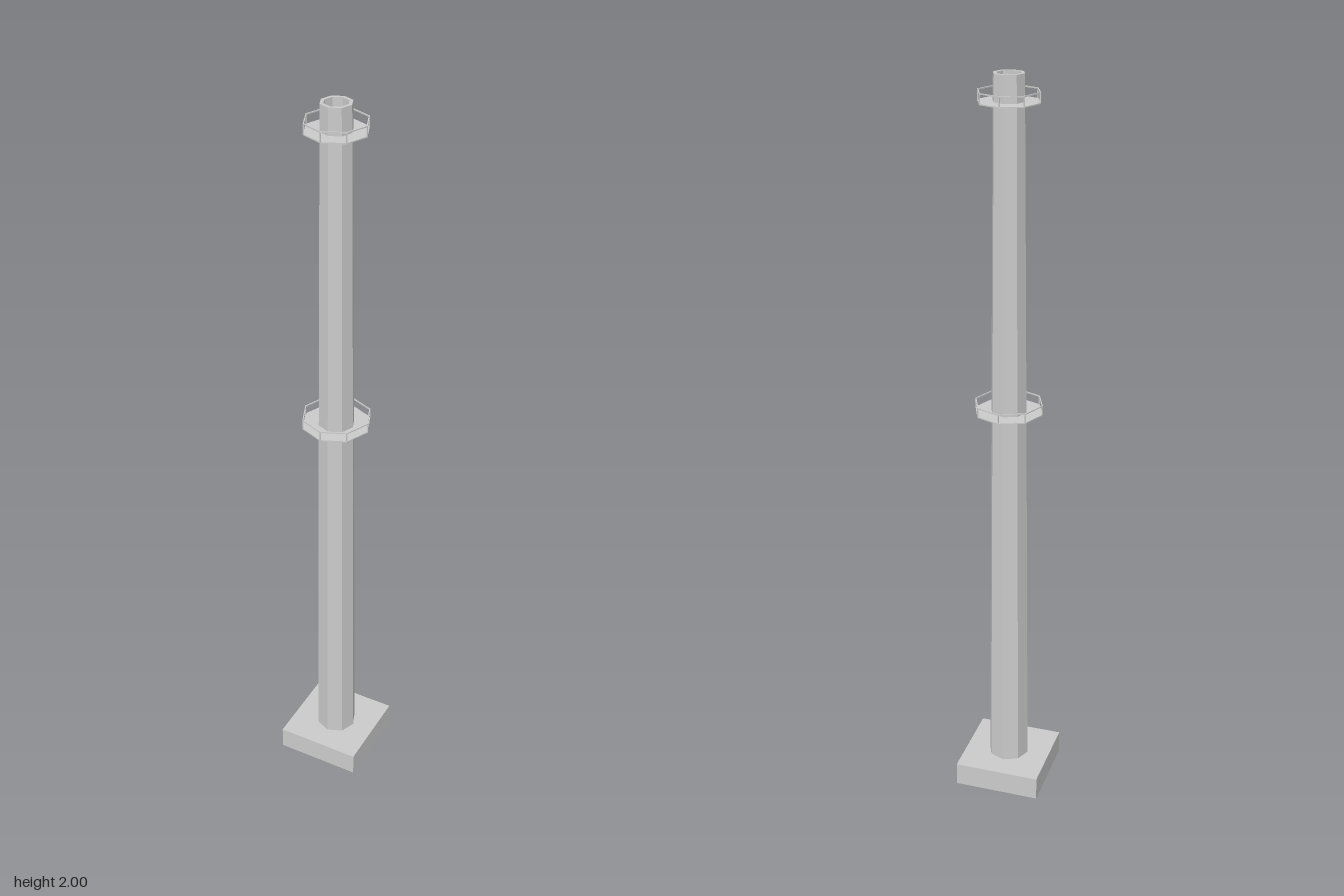
import * as THREE from 'three';

const SIDES = 8;
const material = new THREE.MeshStandardMaterial({ color: 0xcccccc, flatShading: true, side: THREE.DoubleSide });

function add(parent, name, geometry) {
  const mesh = new THREE.Mesh(geometry, material);
  mesh.name = name;
  parent.add(mesh);
  return mesh;
}

// Eight-sided turned solid from [radius, height] pairs
function lathe(profile) {
  return new THREE.LatheGeometry(profile.map(([r, y]) => new THREE.Vector2(r, y)), SIDES);
}

// Thin walkway around the shaft with corner posts and a handrail
function createGallery(name, y, shaftRadius, radius) {
  const gallery = new THREE.Group();
  gallery.name = name;
  gallery.position.y = y;
  const height = 0.028, bar = 0.003, inner = radius - bar;

  add(gallery, 'walkway', lathe([
    [shaftRadius, 0], [radius, 0], [radius, bar], [shaftRadius, bar],
  ]));
  add(gallery, 'handrail', lathe([
    [inner, height - bar], [radius, height - bar], [radius, height], [inner, height], [inner, height - bar],
  ]));
  const postGeometry = new THREE.BoxGeometry(bar, height - bar, bar);
  for (let i = 0; i < SIDES; i++) {
    const angle = (i / SIDES) * Math.PI * 2;
    const r = radius - bar / 2;
    const post = add(gallery, 'railPost', postGeometry);
    post.position.set(Math.sin(angle) * r, height / 2, Math.cos(angle) * r);
    post.rotation.y = angle;
  }
  return gallery;
}

export function createModel() {
  const model = new THREE.Group();
  model.name = 'chimney';

  // Square plinth, open underneath
  const plinthHeight = 0.066;
  const plinth = new THREE.BoxGeometry(0.238, plinthHeight, 0.238);
  const index = Array.from(plinth.index.array);
  index.splice(18, 6);
  plinth.setIndex(index);
  plinth.clearGroups();
  add(model, 'plinth', plinth).position.y = plinthHeight / 2;

  // Tapered shaft with a recessed mouth
  add(model, 'shaft', lathe([
    [0.057, plinthHeight], [0.048, 1.14], [0.04, 2], [0.031, 2], [0.031, 1.96], [0, 1.96],
  ]));

  model.add(createGallery('middleGallery', 1.13, 0.046, 0.092));
  model.add(createGallery('upperGallery', 1.93, 0.039, 0.08));
  return model;
}
